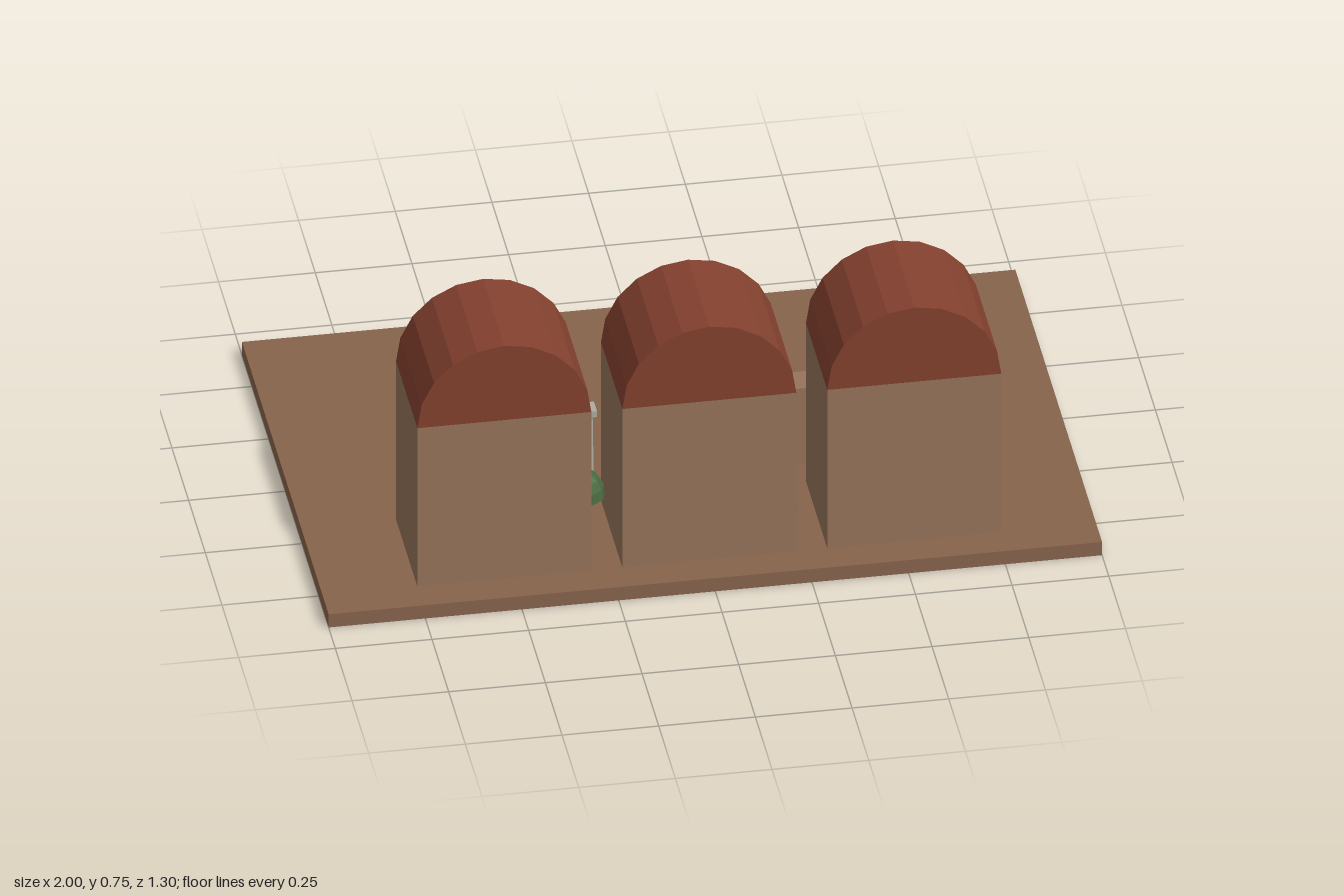
import * as THREE from 'three';

const mat = (color, extra = {}) => new THREE.MeshStandardMaterial({ color, flatShading: true, ...extra });

export function createModel() {
  const model = new THREE.Group();
  const earth = mat(0x87644c, { side: THREE.DoubleSide });
  const wall = mat(0x96745a), roofRed = mat(0x84412f), dark = mat(0x2b2420);
  const leaf = mat(0x486840, { side: THREE.DoubleSide });
  const bark = mat(0x33241a), stone = mat(0xb0aca0);
  const GROUND = 0.04;

  function add(parent, name, geometry, material, x = 0, y = 0, z = 0) {
    const mesh = new THREE.Mesh(geometry, material);
    mesh.name = name;
    mesh.position.set(x, y, z);
    parent.add(mesh);
    return mesh;
  }
  function group(name, x, y, z) {
    const g = new THREE.Group();
    g.name = name;
    g.position.set(x, y, z);
    model.add(g);
    return g;
  }

  // Ground slab, hollow underneath (bottom face removed)
  const slab = new THREE.BoxGeometry(2, GROUND, 1.3);
  const index = Array.from(slab.index.array);
  index.splice(18, 6);
  slab.setIndex(index);
  slab.clearGroups();
  add(model, 'ground', slab, earth, 0, GROUND / 2, 0);

  // Three vaulted halls with a dark gateway at the back
  const bodyGeo = new THREE.BoxGeometry(0.45, 0.48, 0.32);
  const roofGeo = new THREE.CylinderGeometry(0.225, 0.225, 0.32, 10, 1, false, Math.PI / 2, Math.PI);
  roofGeo.rotateX(Math.PI / 2);
  const gateGeo = new THREE.BoxGeometry(0.36, 0.36, 0.012);
  for (const x of [-0.53, 0, 0.53]) {
    const hall = group('hall', x, GROUND, 0.4);
    add(hall, 'hallWalls', bodyGeo, wall, 0, 0.24, 0);
    add(hall, 'vaultedRoof', roofGeo, roofRed, 0, 0.48, 0);
    add(hall, 'gateway', gateGeo, dark, 0, 0.18, -0.162);
  }

  // Row of pillars, each taller than the last
  for (let i = 0; i < 5; i++) {
    const h = 0.08 + 0.05 * i;
    add(model, 'pillar', new THREE.BoxGeometry(0.08, h, 0.08), wall, -0.6 + 0.3 * i, GROUND + h / 2, 0.12);
  }

  // Stone column with flared capital and square top
  const column = group('column', -0.263, GROUND, 0.245);
  add(column, 'columnShaft', new THREE.CylinderGeometry(0.016, 0.019, 0.26, 10), stone, 0, 0.13, 0);
  add(column, 'columnCapital', new THREE.CylinderGeometry(0.023, 0.016, 0.02, 10), stone, 0, 0.265, 0);
  add(column, 'columnTop', new THREE.BoxGeometry(0.046, 0.018, 0.046), stone, 0, 0.281, 0);

  // Small dome-crowned trees
  const crownGeo = new THREE.SphereGeometry(0.059, 10, 4, 0, Math.PI * 2, 0, Math.PI / 2);
  crownGeo.scale(1, 1.22, 1);
  const trunkGeo = new THREE.CylinderGeometry(0.007, 0.009, 0.06, 6);
  const spots = [
    [0.47, -0.08], [-0.59, 0.155], [-0.44, 0.185], [-0.425, 0.215],
    [-0.28, 0.28], [0.55, 0.22], [0.725, 0.225], [0.19, 0.43],
  ];
  for (const [x, z] of spots) {
    const tree = group('tree', x, GROUND, z);
    add(tree, 'treeTrunk', trunkGeo, bark, 0, 0.03, 0);
    add(tree, 'treeCrown', crownGeo, leaf, 0, 0.05, 0);
  }

  return model;
}
